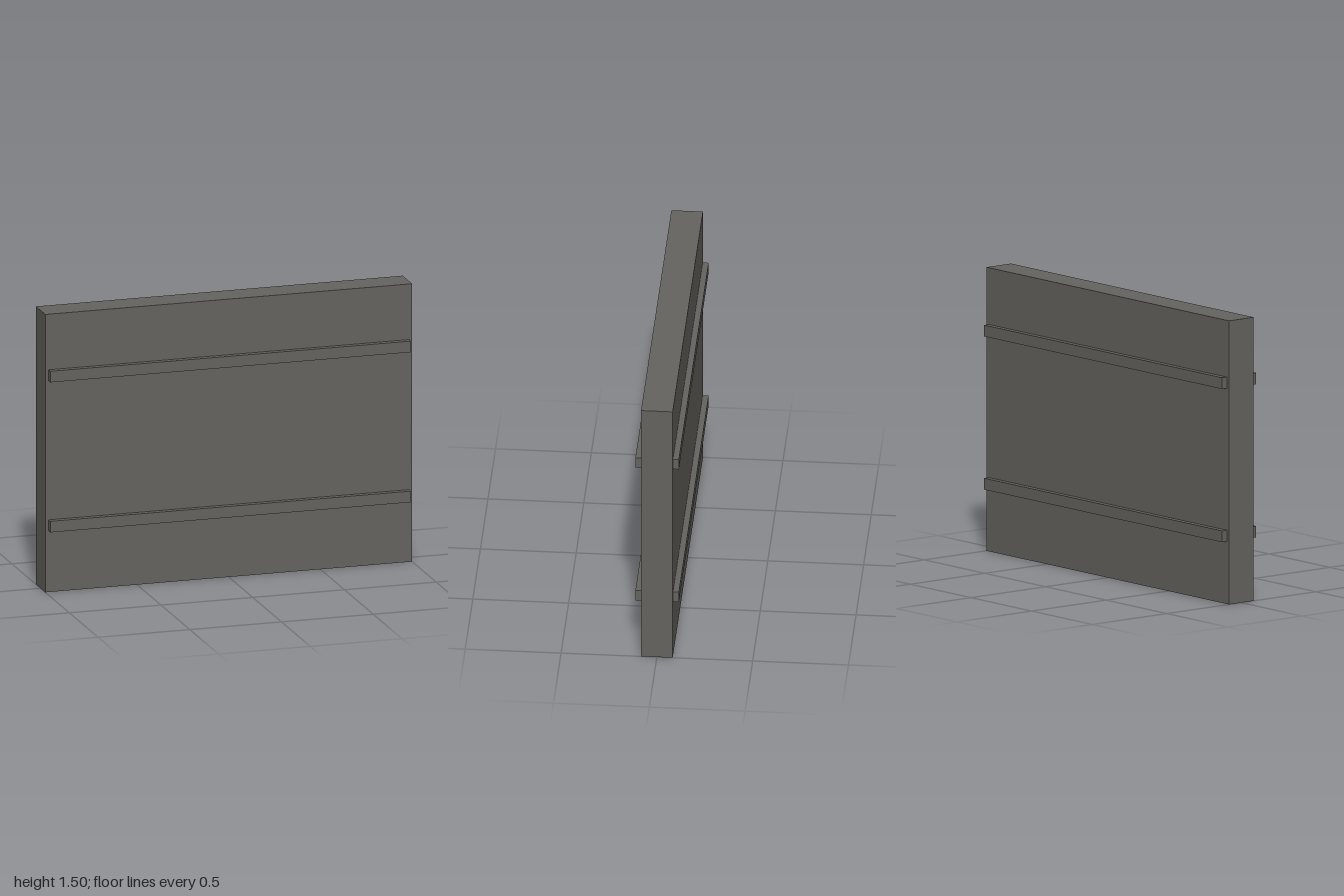
import * as THREE from 'three';

export function createModel() {
  const model = new THREE.Group();
  model.name = 'wallPanel';

  const darkGrey = new THREE.MeshStandardMaterial({ color: 0x65635f });
  darkGrey.name = 'darkGrey';

  function addBox(name, width, height, depth, y, z) {
    const mesh = new THREE.Mesh(new THREE.BoxGeometry(width, height, depth), darkGrey);
    mesh.name = name;
    mesh.position.set(0, y, z);
    model.add(mesh);
  }

  // Main slab
  const slabDepth = 0.165;
  addBox('slab', 2, 1.5, slabDepth, 0.75, 0);

  // Horizontal rails, two on each face
  const railDepth = 0.031;
  for (const [side, sign] of [['front', 1], ['back', -1]]) {
    for (const [level, y] of [['Lower', 0.36], ['Upper', 1.17]]) {
      addBox(`${side}${level}Rail`, 1.964, 0.06, railDepth, y, sign * (slabDepth + railDepth) / 2);
    }
  }

  return model;
}
